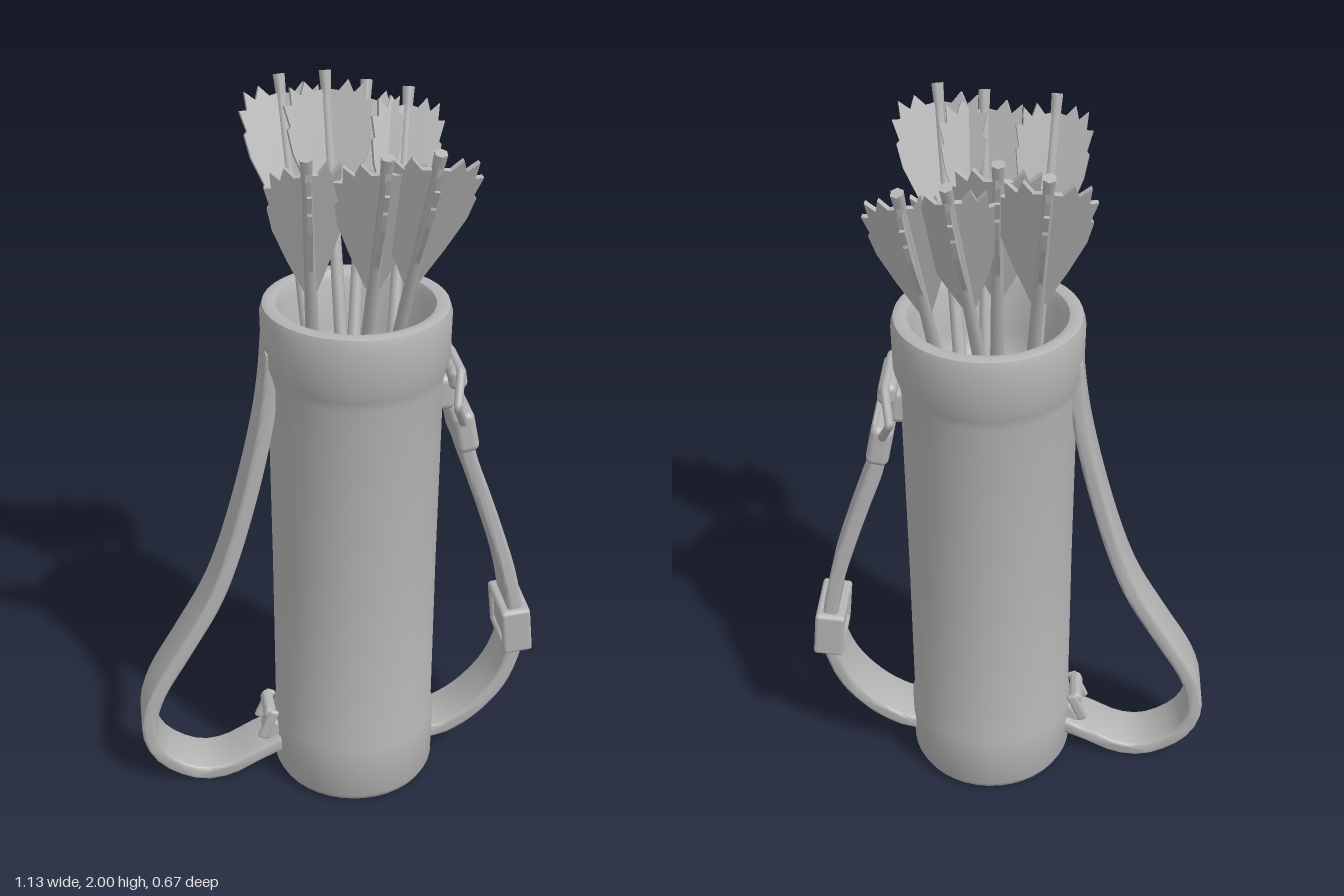
import * as THREE from 'three';
import { toCreasedNormals } from 'three/addons/utils/BufferGeometryUtils.js';
import { RoundedBoxGeometry } from 'three/addons/geometries/RoundedBoxGeometry.js';

const V2 = (a) => new THREE.Vector2(a[0], a[1]);
const V3 = (a) => new THREE.Vector3(...a);

export function createModel() {
  const model = new THREE.Group();
  model.name = 'quiver';
  const grey = new THREE.MeshStandardMaterial({ color: 0xb4b4b4 });
  grey.name = 'plain grey';

  const add = (name, geometry, parent = model, pos = [0, 0, 0], rotZ = 0) => {
    const mesh = new THREE.Mesh(geometry, grey);
    mesh.name = name;
    mesh.position.set(...pos);
    mesh.rotation.z = rotZ;
    parent.add(mesh);
    return mesh;
  };

  // Hollow body: base band, tube, thick rolled rim and sagging inner floor
  const profile = [
    [0, 0.012], [0.2, 0.008], [0.222, 0.015], [0.232, 0.035], [0.234, 0.2], [0.228, 0.225],
    [0.228, 0.7], [0.232, 1.27], [0.238, 1.3], [0.248, 1.33], [0.25, 1.45], [0.243, 1.474],
    [0.228, 1.48], [0.208, 1.474], [0.196, 1.45], [0.185, 1.32], [0.16, 1.22], [0.1, 1.18], [0, 1.17],
  ].map(V2);
  const body = add('body', toCreasedNormals(new THREE.LatheGeometry(profile, 40), 0.8), model, [0.052, 0, 0]);
  body.scale.z = 1.025;

  // Strap: a ribbon outline offset from a curve in the xy plane, extruded across z
  const strap = (name, points, width, half = 0.012) => {
    const curve = new THREE.SplineCurve(points.map(V2));
    const n = 44, outer = [], inner = [];
    for (let i = 0; i <= n; i++) {
      const p = curve.getPointAt(i / n), t = curve.getTangentAt(i / n);
      outer.push(new THREE.Vector2(p.x - t.y * half, p.y + t.x * half));
      inner.unshift(new THREE.Vector2(p.x + t.y * half, p.y - t.x * half));
    }
    const bevel = 0.009;
    const geo = new THREE.ExtrudeGeometry(new THREE.Shape([...outer, ...inner]), {
      depth: width - 2 * bevel, bevelSize: bevel, bevelThickness: bevel, bevelSegments: 2,
    });
    geo.translate(0, 0, -width / 2 + bevel);
    return add(name, toCreasedNormals(geo, 0.8));
  };
  strap('longStrap', [
    [-0.172, 1.36], [-0.182, 1.25], [-0.203, 1.12], [-0.245, 0.94], [-0.3, 0.75], [-0.355, 0.61], [-0.44, 0.46],
    [-0.52, 0.32], [-0.55, 0.2], [-0.515, 0.1], [-0.42, 0.035], [-0.33, 0.035], [-0.24, 0.08], [-0.165, 0.115],
  ], 0.148);
  strap('shortStrap', [
    [0.333, 1.16], [0.35, 1.04], [0.395, 0.91], [0.44, 0.78], [0.483, 0.64], [0.51, 0.5],
    [0.515, 0.4], [0.475, 0.275], [0.4, 0.18], [0.32, 0.125], [0.26, 0.11],
  ], 0.15);

  // Upper strap end: folded cuff, bent wire ring and the bar holding it
  add('strapCuff', new RoundedBoxGeometry(0.062, 0.12, 0.185, 3, 0.02), model, [0.338, 1.11, 0], 0.2);
  const ring = [[0.315, 1.295, 0.09], [0.3, 1.215, 0.14], [0.33, 1.14, 0.085]];
  const loop = [...ring, ...ring.map(([x, y, z]) => [x, y, -z]).reverse()].map(V3);
  const ringPath = new THREE.CurvePath();
  loop.forEach((p, i) => ringPath.add(new THREE.LineCurve3(p, loop[(i + 1) % loop.length])));
  add('wireRing', new THREE.TubeGeometry(ringPath, 60, 0.012, 8, true));
  add('ringBar', new RoundedBoxGeometry(0.05, 0.065, 0.17, 3, 0.02), model, [0.312, 1.268, 0], 0.15);
  add('ringTab', new RoundedBoxGeometry(0.07, 0.1, 0.13, 3, 0.02), model, [0.278, 1.22, 0]);

  // Buckle on the short strap: frame with opening, centre bar and folded tongue
  const buckle = new THREE.Group();
  buckle.name = 'buckle';
  buckle.position.set(0.512, 0.455, 0);
  buckle.rotation.z = 0.1;
  model.add(buckle);
  for (const s of [-1, 1]) {
    add('buckleSide', new RoundedBoxGeometry(0.085, 0.14, 0.024, 2, 0.01), buckle, [0, 0, s * 0.08]);
    add('buckleBar', new RoundedBoxGeometry(0.085, 0.028, 0.18, 2, 0.012), buckle, [0, s * 0.058, 0]);
  }
  add('buckleTongue', new RoundedBoxGeometry(0.07, 0.1, 0.14, 2, 0.02), buckle);

  // Small fastener at the foot of the long strap
  add('fastenerPlate', new RoundedBoxGeometry(0.05, 0.08, 0.1, 2, 0.018), model, [-0.185, 0.14, 0], -0.5);
  add('fastenerBar', new RoundedBoxGeometry(0.035, 0.035, 0.11, 2, 0.014), model, [-0.2, 0.208, 0], -0.5);
  for (const s of [-1, 1]) {
    add('fastenerSide', new RoundedBoxGeometry(0.03, 0.1, 0.018, 2, 0.008), model, [-0.205, 0.175, s * 0.05], -0.4);
  }

  // Ragged feather half; y runs from the tip end downwards
  const feather = (width, length) => {
    const edge = [
      [0, -1], [0.16, -0.92], [0.55, -0.66], [0.86, -0.42], [0.95, -0.26], [0.88, -0.24],
      [1, -0.1], [0.82, -0.1], [0.84, 0.02], [0.6, -0.04], [0.5, 0.05], [0.28, -0.02], [0, 0],
    ].map(([x, y]) => new THREE.Vector2(x * width, y * length));
    const geo = new THREE.ExtrudeGeometry(new THREE.Shape(edge), { depth: 0.012, bevelEnabled: false });
    return geo.translate(0, 0, -0.006);
  };
  const wide = feather(0.118, 0.38), narrow = feather(0.045, 0.34);

  // Arrow: shaft, nock and three feathers; side is +1 for the front row, -1 for the back
  const arrow = (foot, top, side, width) => {
    const a = V3(foot), b = V3(top), dir = b.clone().sub(a), length = dir.length();
    const group = new THREE.Group();
    group.name = side > 0 ? 'frontArrow' : 'backArrow';
    group.position.copy(b);
    group.quaternion.setFromUnitVectors(new THREE.Vector3(0, 1, 0), dir.normalize());
    model.add(group);
    add('shaft', new THREE.CylinderGeometry(0.013, 0.019, length, 8), group, [0, -length / 2, 0]);
    add('nock', new THREE.CylinderGeometry(0.017, 0.014, 0.06, 6), group, [0, -0.03, 0]);
    const vane = (geo, angle, scale) => {
      const mesh = add('feather', geo, group, [0, -0.045, 0]);
      mesh.rotation.y = angle;
      mesh.scale.x = scale;
    };
    vane(wide, side * 0.22, width);
    vane(wide, Math.PI - side * 0.22, width);
    vane(narrow, -side * Math.PI / 2, 1);
  };
  const backRow = [
    [[-0.05, 1.18, -0.04], [-0.105, 1.985, -0.305], 1],
    [[0.045, 1.18, -0.03], [0.125, 1.96, -0.31], 0.9],
    [[0.15, 1.18, -0.03], [0.235, 1.94, -0.3], 0.85],
    [[0.03, 1.18, -0.04], [0.01, 2.0, -0.27], 1],
  ];
  const frontRow = [
    [[-0.06, 1.18, 0.03], [-0.11, 1.95, 0.28], 0.85],
    [[0.06, 1.18, 0.02], [0.075, 1.95, 0.3], 1],
    [[0.12, 1.18, 0.02], [0.195, 1.96, 0.315], 1.05],
  ];
  backRow.forEach(([f, t, w]) => arrow(f, t, -1, w));
  frontRow.forEach(([f, t, w]) => arrow(f, t, 1, w));

  return model;
}
